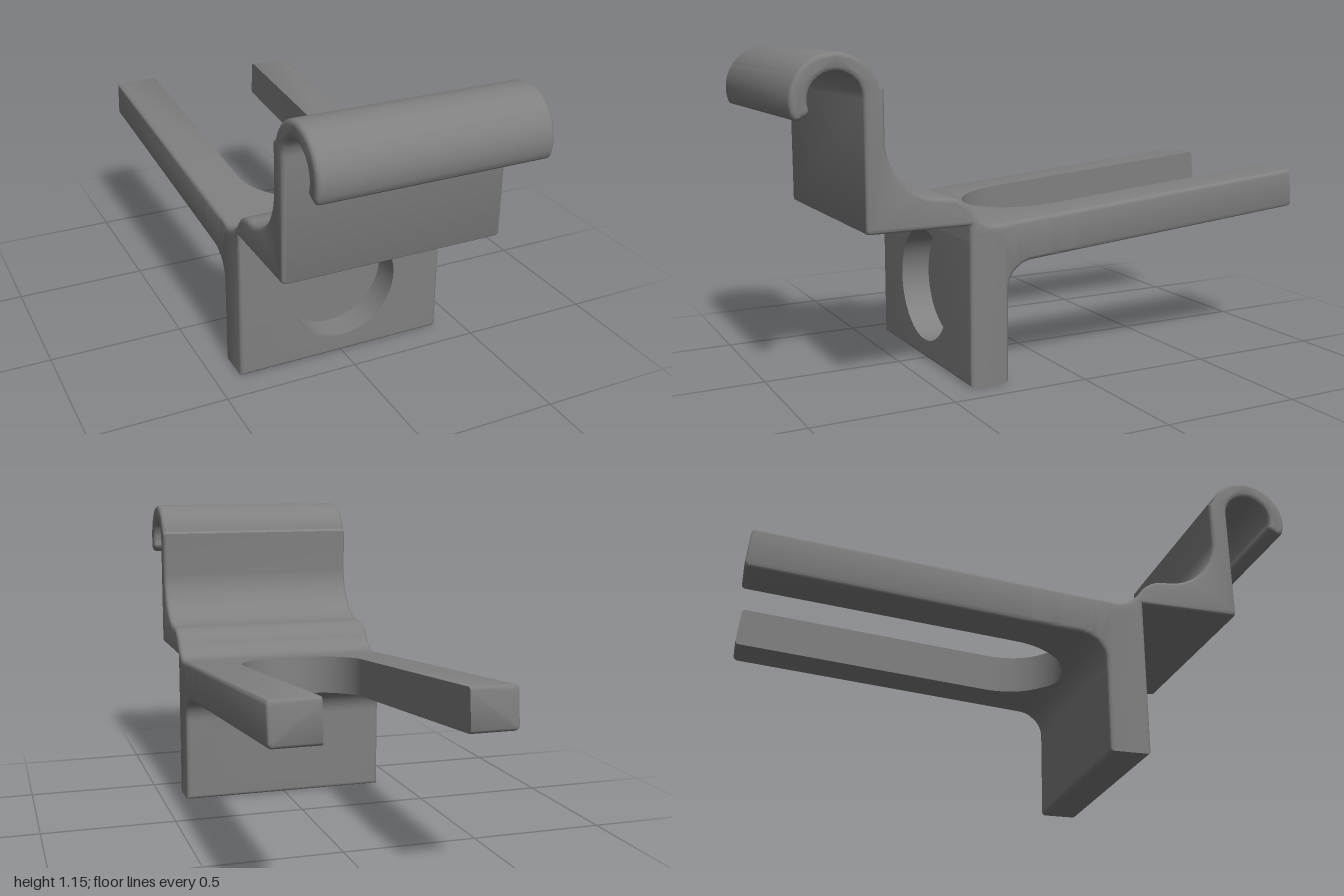
import * as THREE from 'three';
import { toCreasedNormals } from 'three/addons/utils/BufferGeometryUtils.js';

const HALF = 0.405, R = 0.015, SLOPE = 0.085;
const SLOT_R = 0.235, SLOT_END = 0.215;
const bevel = { bevelEnabled: true, bevelThickness: R, bevelSize: R, bevelOffset: -R, bevelSegments: 3 };

// Height of the upper and lower faces of the sloping fork
const top = z => 0.586 - SLOPE * z;
const bottom = z => z < 0.158 ? 0.4398 - SLOPE * z : 0.3266 + Math.sqrt(Math.max(0, 0.01 - (z - 0.15) ** 2));
const lowerZ = z => z - SLOPE * (top(z) - bottom(z));

// Side profile of hook, saddle block and fork root, swept across the width
function bodyGeometry() {
  const tip = (r, a) => [0.85 + r * Math.cos(a), 1 + r * Math.sin(a)];
  const s = new THREE.Shape();
  s.moveTo(0.745, 0.565);
  for (const p of [[0.395, 0.565], [0.395, 0.51], [0.285, 0.51], [0.285, 0.29], [0.25, 0.29], [0.25, 0.3266]]) s.lineTo(...p);
  s.absarc(0.15, 0.3266, 0.1, 0, Math.acos((lowerZ(SLOT_END) - 0.15) / 0.1), false);
  s.lineTo(SLOT_END, top(SLOT_END));
  s.lineTo(0.28, 0.562);
  s.quadraticCurveTo(0.345, 0.557, 0.385, 0.61);
  s.quadraticCurveTo(0.42, 0.668, 0.49, 0.668);
  s.absarc(0.49, 0.868, 0.2, -Math.PI / 2, 0, false);
  s.lineTo(0.69, 1.035);
  s.absarc(0.85, 1, 0.15, Math.PI - 0.3, -0.3, true);
  s.quadraticCurveTo(...tip(0.15, -0.44), ...tip(0.13, -0.44));
  s.lineTo(...tip(0.11, -0.44));
  s.quadraticCurveTo(...tip(0.09, -0.44), ...tip(0.09, -0.24));
  s.absarc(0.85, 1, 0.09, -0.24, Math.PI, false);
  s.lineTo(0.76, 0.58);
  s.quadraticCurveTo(0.76, 0.565, 0.745, 0.565);
  const depth = 2 * (HALF - R);
  const g = new THREE.ExtrudeGeometry(s, { ...bevel, depth, curveSegments: 20 });
  g.translate(0, 0, -depth / 2);
  g.rotateY(-Math.PI / 2);
  return toCreasedNormals(g, 0.6);
}

// Mounting plate with a straight-walled round opening
function plateGeometry() {
  const s = new THREE.Shape();
  s.moveTo(-HALF, 0).lineTo(HALF, 0).lineTo(HALF, 0.54).lineTo(-HALF, 0.54).closePath();
  s.holes.push(new THREE.Path().absarc(0, 0.28, 0.21, 0, Math.PI * 2, true));
  const g = new THREE.ExtrudeGeometry(s, { ...bevel, depth: 0.115, curveSegments: 32 });
  const p = g.attributes.position;
  // Pull the bevelled rim of the opening back to a plain cylinder
  for (let i = 0; i < p.count; i++) {
    const x = p.getX(i), y = p.getY(i) - 0.28, d = Math.hypot(x, y);
    if (d < 0.24) p.setXY(i, x * 0.21 / d, 0.28 + y * 0.21 / d);
  }
  g.translate(0, 0, 0.265);
  return toCreasedNormals(g, 0.6);
}

// One fork arm, lofted along z; its inner wall curves in to the slot's round end
function armGeometry(side) {
  const centre = SLOT_END - SLOT_R, stations = [[-0.987, 0.01], [-0.984, 0.004], [-0.976, 0]];
  for (let i = 0; i <= 20; i++) stations.push([centre + SLOT_R * Math.sin(i / 20 * Math.PI / 2), 0]);
  stations.push([0.235, 0]);
  const pos = [], idx = [];
  let n = 0;
  for (const [z, inset] of stations) {
    const zb = lowerZ(z), t = top(z) - inset, b = bottom(zb) + inset, out = HALF - inset;
    const inner = z <= centre ? SLOT_R : Math.sqrt(Math.max(0, SLOT_R ** 2 - (z - centre) ** 2));
    const loop = [[inner, t]];
    for (let k = 0; k <= 3; k++) {
      const a = k * Math.PI / 6;
      loop.push([out - R + R * Math.sin(a), t - R + R * Math.cos(a)]);
    }
    for (let k = 0; k <= 3; k++) {
      const a = k * Math.PI / 6;
      loop.push([out - R + R * Math.cos(a), b + R - R * Math.sin(a)]);
    }
    loop.push([inner, b]);
    n = loop.length;
    for (const [x, y] of loop) pos.push(side * x, y, z + (zb - z) * (t - y) / (t - b));
  }
  const tri = (a, b, c) => side > 0 ? idx.push(a, b, c) : idx.push(a, c, b);
  for (let i = 0; i < stations.length - 1; i++) {
    for (let j = 0; j < n; j++) {
      const a = i * n + j, b = i * n + (j + 1) % n;
      tri(a, a + n, b);
      tri(b, a + n, b + n);
    }
  }
  for (let j = 1; j < n - 1; j++) tri(0, j, j + 1);
  const g = new THREE.BufferGeometry();
  g.setAttribute('position', new THREE.Float32BufferAttribute(pos, 3));
  g.setIndex(idx);
  return toCreasedNormals(g, 0.6);
}

export function createModel() {
  const group = new THREE.Group();
  group.name = 'forkedHookBracket';
  const grey = new THREE.MeshStandardMaterial({ color: 0x808080 });
  grey.name = 'grey';
  const add = (name, geometry) => {
    const mesh = new THREE.Mesh(geometry, grey);
    mesh.name = name;
    group.add(mesh);
    return mesh;
  };

  add('hookAndSaddle', bodyGeometry());
  add('mountingPlate', plateGeometry());

  // Floor of the round recess
  const floor = new THREE.CylinderGeometry(0.21, 0.21, 0.035, 128);
  floor.rotateX(Math.PI / 2);
  add('recessFloor', floor).position.set(0, 0.28, 0.2675);

  add('leftArm', armGeometry(1));
  add('rightArm', armGeometry(-1));
  return group;
}
